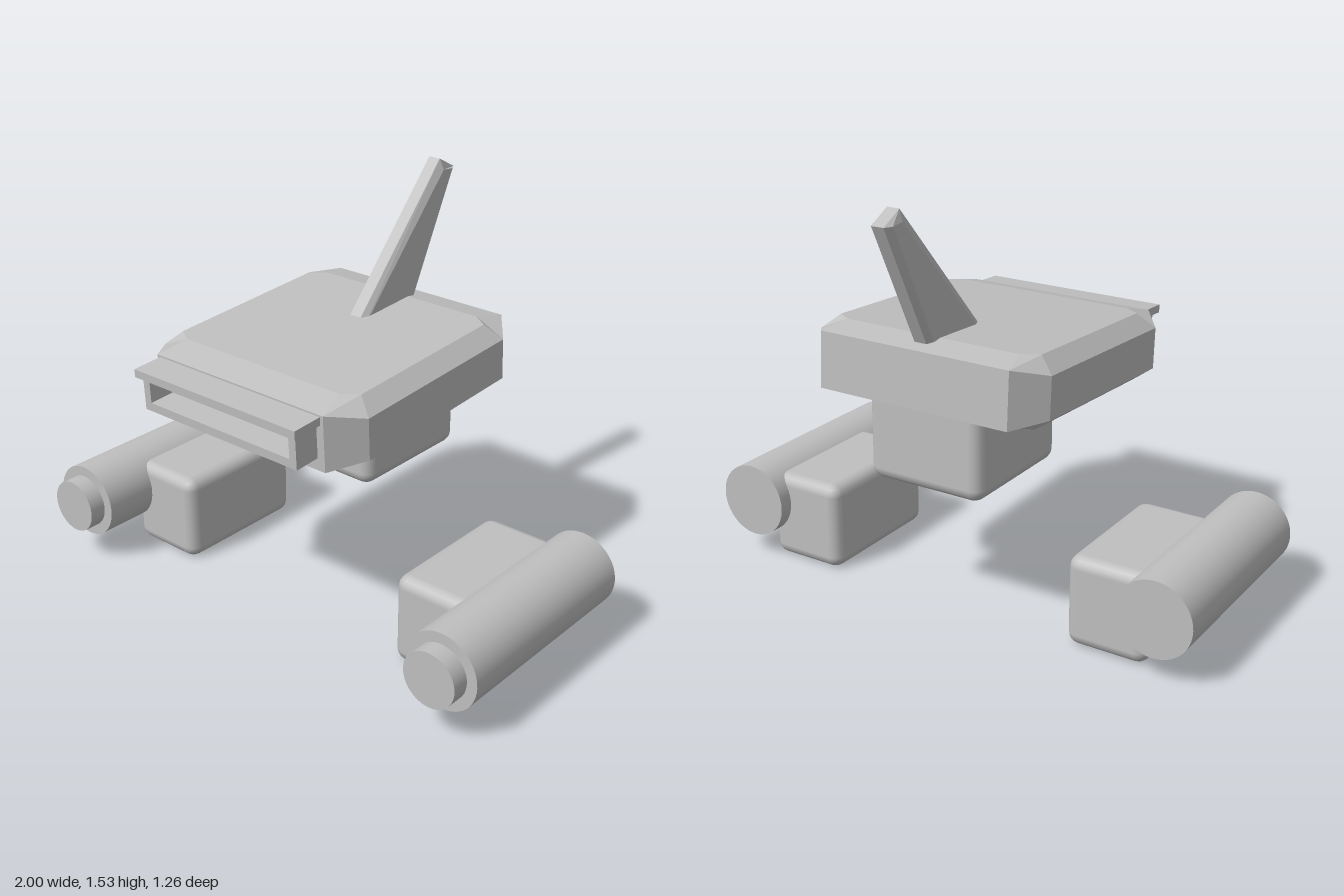
import * as THREE from 'three';
import { RoundedBoxGeometry } from 'three/addons/geometries/RoundedBoxGeometry.js';

const grey = new THREE.MeshStandardMaterial({ color: 0xbfbfbf });
grey.name = 'plain grey';

function part(name, geometry, x = 0, y = 0, z = 0) {
  const mesh = new THREE.Mesh(geometry, grey);
  mesh.name = name;
  mesh.position.set(x, y, z);
  return mesh;
}

// Rounded box given by its limits
function block(name, [x0, x1], [y0, y1], [z0, z1], radius) {
  return part(name, new RoundedBoxGeometry(x1 - x0, y1 - y0, z1 - z0, 2, radius),
    (x0 + x1) / 2, (y0 + y1) / 2, (z0 + z1) / 2);
}

// Flat-faced solid through equal-length rings, capped at both ends
function loft(rings) {
  const pos = [];
  const tri = (a, b, c) => pos.push(...a, ...b, ...c);
  const n = rings[0].length;
  for (let r = 0; r < rings.length - 1; r++) {
    const a = rings[r], b = rings[r + 1];
    for (let i = 0; i < n; i++) {
      const j = (i + 1) % n;
      tri(a[i], a[j], b[j]);
      tri(a[i], b[j], b[i]);
    }
  }
  const lo = rings[0], hi = rings[rings.length - 1];
  for (let i = 1; i < n - 1; i++) {
    tri(lo[0], lo[i + 1], lo[i]);
    tri(hi[0], hi[i], hi[i + 1]);
  }
  const g = new THREE.BufferGeometry();
  g.setAttribute('position', new THREE.Float32BufferAttribute(pos, 3));
  g.computeVertexNormals();
  return g;
}

// Octagonal ring: ends (front, back) and sides may sit at different heights
function octagon(xEnd, xSide, zFront, zBack, cut, yEnd, ySide) {
  return [
    [-xEnd, yEnd, zFront], [xEnd, yEnd, zFront],
    [xSide, ySide, zFront - cut], [xSide, ySide, zBack + cut],
    [xEnd, yEnd, zBack], [-xEnd, yEnd, zBack],
    [-xSide, ySide, zBack + cut], [-xSide, ySide, zFront - cut],
  ];
}

function createHead() {
  const head = new THREE.Group();
  head.name = 'head';
  head.position.y = 0.911;
  head.rotation.x = 0.053;

  head.add(part('headShell', loft([
    octagon(0.35, 0.41, 0.39, -0.38, 0.04, -0.125, -0.125),
    octagon(0.38, 0.47, 0.505, -0.47, 0.117, -0.105, -0.08),
    octagon(0.38, 0.47, 0.505, -0.47, 0.117, 0.101, 0.072),
    octagon(0.35, 0.41, 0.39, -0.36, 0.04, 0.125, 0.125),
  ])));

  // Overhanging lip above an open-topped frame
  head.add(part('lip', new THREE.BoxGeometry(0.735, 0.03, 0.14), 0, 0.08, 0.555));
  const frame = new THREE.Shape([
    [-0.35, 0.066], [-0.35, -0.06], [0.35, -0.06], [0.35, 0.066],
    [0.32, 0.066], [0.32, -0.028], [-0.32, -0.028], [-0.32, 0.066],
  ].map(([x, y]) => new THREE.Vector2(x, y)));
  head.add(part('mouthFrame',
    new THREE.ExtrudeGeometry(frame, { depth: 0.105, bevelEnabled: false }), 0, 0, 0.5));
  return head;
}

// Swept-back fin with bevelled edges
function createFin() {
  const ring = (x, pts) => pts.map(([y, z]) => [x, y, z]);
  const outer = [[0.98, -0.045], [0.98, -0.378], [1.485, -0.63], [1.53, -0.545]];
  const inner = [[0.98, -0.075], [0.98, -0.352], [1.485, -0.602], [1.49, -0.55]];
  return part('fin', loft([
    ring(-0.04, inner), ring(-0.024, outer), ring(0.024, outer), ring(0.04, inner),
  ]));
}

// Side pod: rounded block, recessed outer panel and a barrel with a nozzle
function createPod(side) {
  const pod = new THREE.Group();
  pod.name = side > 0 ? 'leftPod' : 'rightPod';
  const span = (a, b) => (side > 0 ? [a, b] : [-b, -a]);
  pod.add(block('podBlock', span(0.495, 0.805), [0, 0.34], [-0.28, 0.28], 0.045));
  pod.add(block('podPanel', span(0.7, 0.832), [0.035, 0.3], [-0.24, 0.24], 0.03));
  const tube = (name, r, z0, z1) => part(name,
    new THREE.CylinderGeometry(r, r, z1 - z0, 48).rotateX(Math.PI / 2),
    side * 0.858, 0.23, (z0 + z1) / 2);
  pod.add(tube('barrel', 0.142, -0.335, 0.49));
  pod.add(tube('nozzle', 0.102, 0.45, 0.555));
  return pod;
}

export function createModel() {
  const model = new THREE.Group();
  model.name = 'model';
  model.add(createHead());
  model.add(createFin());
  model.add(block('neck', [-0.232, 0.232], [0.505, 0.9], [-0.412, 0.102], 0.045));
  for (const side of [1, -1]) model.add(createPod(side));
  return model;
}
